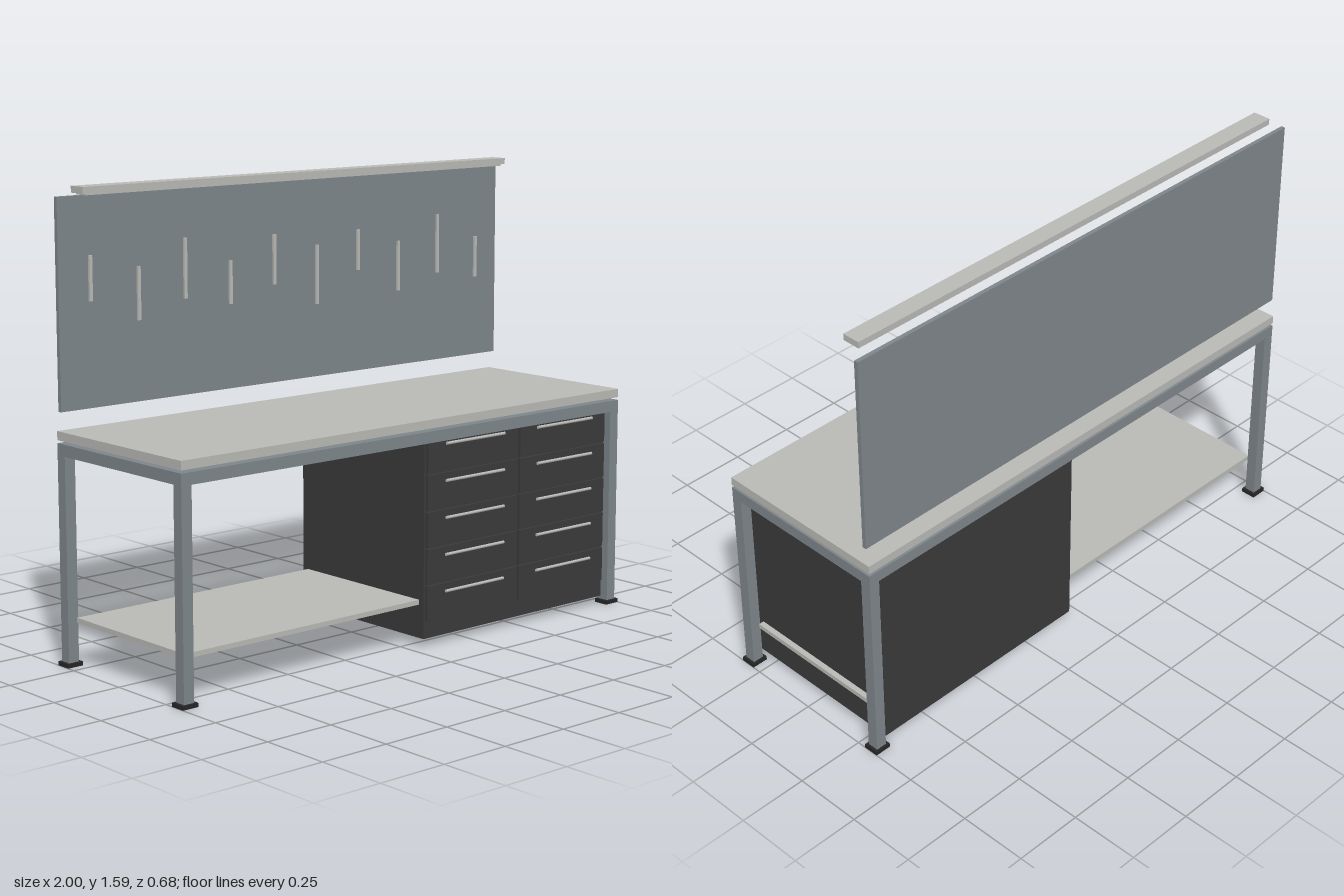
import * as THREE from 'three';

const mat = (name, color) => {
  const m = new THREE.MeshStandardMaterial({ color });
  m.name = name;
  return m;
};

export function createModel() {
  const steel = mat('greySteel', 0x7e868a);
  const pale = mat('paleGrey', 0xb9b9b6);
  const dark = mat('darkCabinet', 0x3a3a3a);
  const black = mat('blackFoot', 0x262626);

  const model = new THREE.Group();
  model.name = 'workbench';

  // Box given by its extents on each axis
  const block = (name, material, [x0, x1], [y0, y1], [z0, z1], parent = model) => {
    const mesh = new THREE.Mesh(new THREE.BoxGeometry(x1 - x0, y1 - y0, z1 - z0), material);
    mesh.position.set((x0 + x1) / 2, (y0 + y1) / 2, (z0 + z1) / 2);
    mesh.name = name;
    parent.add(mesh);
    return mesh;
  };
  const around = (c, size) => [c - size / 2, c + size / 2];

  // Frame: legs, feet and top rails
  const frame = new THREE.Group();
  frame.name = 'frame';
  model.add(frame);
  for (const sx of [-1, 1]) {
    for (const sz of [-1, 1]) {
      block('leg', steel, around(sx * 0.97, 0.04), [0.012, 0.75], around(sz * 0.31, 0.04), frame);
      block('foot', black, around(sx * 0.97, 0.06), [0, 0.014], around(sz * 0.31, 0.056), frame);
    }
    block('sideRail', steel, around(sx * 0.97, 0.04), [0.71, 0.75], [-0.29, 0.29], frame);
  }
  for (const sz of [-1, 1])
    block('longRail', steel, [-0.95, 0.95], [0.71, 0.75], around(sz * 0.31, 0.04), frame);

  // Worktop and lower shelf
  block('worktop', pale, [-0.99, 0.99], [0.76, 0.79], [-0.33, 0.33]);
  block('shelf', pale, [-0.955, 0.955], [0.147, 0.164], [-0.29, 0.29]);

  // Drawer cabinet: two columns of five drawers
  const cabinet = new THREE.Group();
  cabinet.name = 'drawerCabinet';
  model.add(cabinet);
  block('cabinetBody', dark, [0.05, 0.935], [0.03, 0.735], [-0.315, 0.312], cabinet);
  const pitch = 0.1282;
  for (const [x0, x1] of [[0.058, 0.488], [0.498, 0.928]]) {
    for (let row = 0; row < 5; row++) {
      const y = 0.092 + row * pitch;
      block('drawerFront', dark, [x0, x1], [y, y + 0.122], [0.31, 0.323], cabinet);
      const handle = new THREE.Mesh(new THREE.CylinderGeometry(0.0055, 0.0055, 0.276, 8), pale);
      handle.rotation.z = Math.PI / 2;
      handle.position.set((x0 + x1) / 2, y + 0.096, 0.332);
      handle.name = 'drawerHandle';
      cabinet.add(handle);
    }
  }

  // Back panel with a row of hanging tools
  block('backPanel', steel, [-0.99, 0.99], [0.855, 1.555], [-0.32, -0.305]);
  const tools = [
    [1.21, 1.36], [1.13, 1.31], [1.185, 1.39], [1.15, 1.3], [1.2, 1.375],
    [1.115, 1.325], [1.22, 1.365], [1.13, 1.31], [1.18, 1.395], [1.15, 1.3],
  ];
  tools.forEach((span, i) =>
    block('hangingTool', pale, around(-0.873 + i * 0.194, 0.012), span, [-0.296, -0.288]));

  // Overhead lamp bar with a slightly smaller underside
  block('lampBar', pale, [-0.95, 0.95], [1.568, 1.59], [-0.282, -0.217]);
  block('lampUnderside', pale, [-0.935, 0.935], [1.562, 1.568], [-0.275, -0.224]);

  return model;
}
